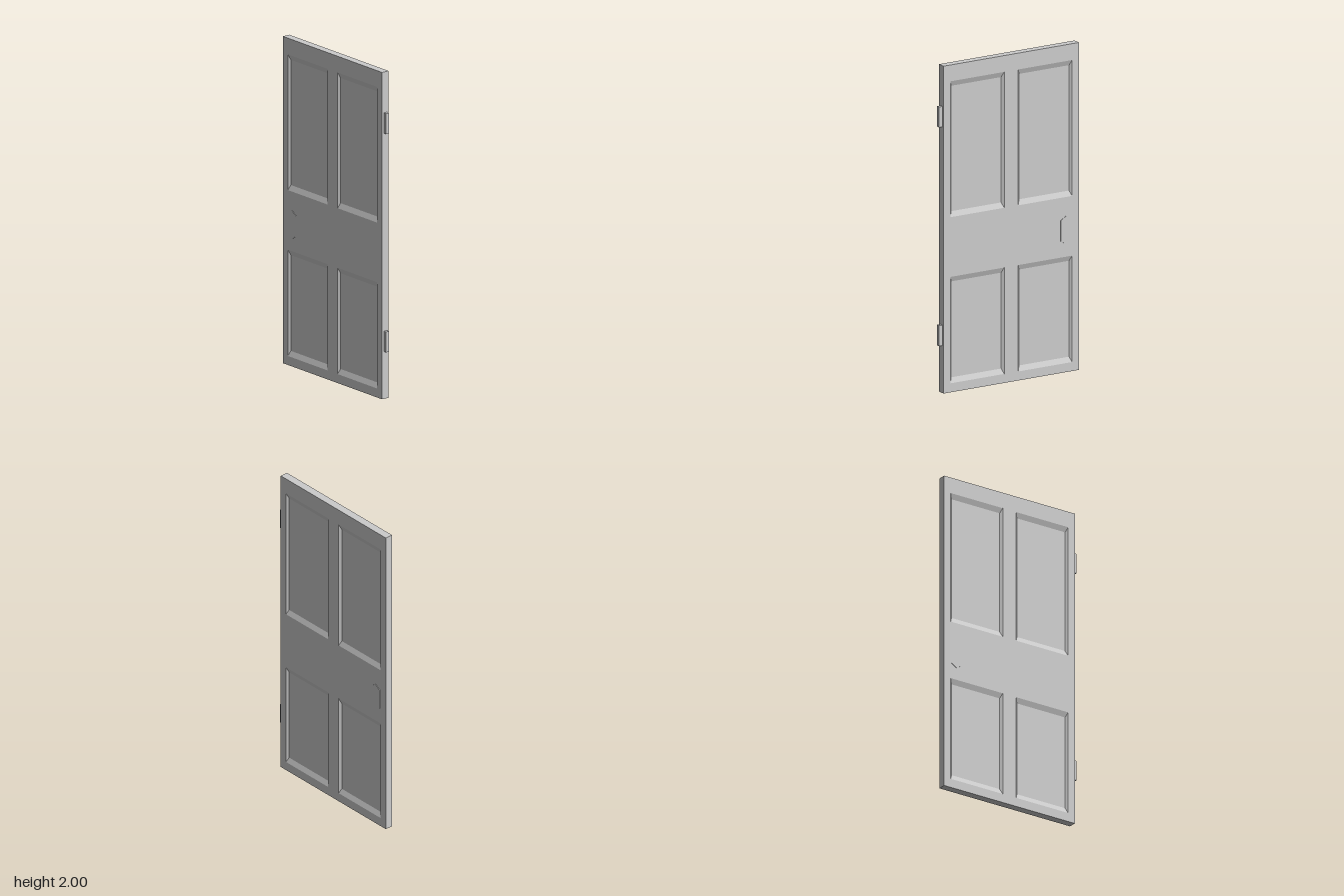
import * as THREE from 'three';

const mat = new THREE.MeshStandardMaterial({ color: 0xcccccc, flatShading: true });

// Door leaf extents; panels are symmetric about the leaf's centre line
const CX = -0.011, HALF_W = 0.464, HEIGHT = 2, HALF_T = 0.0245;
const PANEL_X = 0.2325, PANEL_W = 0.37;
const PANEL_ROWS = [['lower', 0.055, 0.705], ['upper', 1.07, 1.9]];
const BEVEL_X = 0.014, BEVEL_Y = 0.032, RECESS = 0.012;

function add(parent, geometry, name, x = 0, y = 0, z = 0) {
  const mesh = new THREE.Mesh(geometry, mat);
  mesh.name = name;
  mesh.position.set(x, y, z);
  parent.add(mesh);
  return mesh;
}

// Rectangle corners, counter-clockwise seen from +z
const rect = (x0, x1, y0, y1, z) =>
  [[x0, y0, z], [x1, y0, z], [x1, y1, z], [x0, y1, z]];

// Joins two rectangles with a band of quads, optionally capping the second
function loft(a, b, cap) {
  const pts = [];
  const quad = (p, q, r, s) => pts.push(...p, ...q, ...r, ...p, ...r, ...s);
  for (let i = 0; i < 4; i++) {
    const j = (i + 1) % 4;
    quad(a[i], a[j], b[j], b[i]);
  }
  if (cap) quad(...b);
  const g = new THREE.BufferGeometry();
  g.setAttribute('position', new THREE.Float32BufferAttribute(pts, 3));
  g.computeVertexNormals();
  return g;
}

// One face of the leaf: flat frame with four sunken, bevelled panels
function buildFace(name) {
  const face = new THREE.Group();
  face.name = name;
  const path = (target, x0, x1, y0, y1) =>
    target.setFromPoints(rect(x0, x1, y0, y1).map(([x, y]) => new THREE.Vector2(x, y)));
  const frame = path(new THREE.Shape(), -HALF_W, HALF_W, 0, HEIGHT);
  for (const [row, y0, y1] of PANEL_ROWS) {
    for (const s of [-1, 1]) {
      const x0 = s * PANEL_X - PANEL_W / 2, x1 = x0 + PANEL_W;
      frame.holes.push(path(new THREE.Path(), x0, x1, y0, y1));
      const outer = rect(x0, x1, y0, y1, HALF_T);
      const inner = rect(x0 + BEVEL_X, x1 - BEVEL_X, y0 + BEVEL_Y, y1 - BEVEL_Y, HALF_T - RECESS);
      add(face, loft(outer, inner, true), `${row}Panel`);
    }
  }
  add(face, new THREE.ShapeGeometry(frame), 'frameFace', 0, 0, HALF_T);
  return face;
}

export function createModel() {
  const door = new THREE.Group();
  door.name = 'door';

  // Leaf: two identical faces and the edge band around them
  const leaf = new THREE.Group();
  leaf.name = 'leaf';
  leaf.position.x = CX;
  const back = buildFace('backFace');
  back.rotation.y = Math.PI;
  leaf.add(buildFace('frontFace'), back);
  add(leaf, loft(rect(-HALF_W, HALF_W, 0, HEIGHT, -HALF_T),
    rect(-HALF_W, HALF_W, 0, HEIGHT, HALF_T)), 'edgeBand');
  door.add(leaf);

  // Thin handle plates, long hexagons pointed at top and bottom
  const plate = new THREE.Shape([
    [0, -0.0875], [0.0375, -0.063], [0.0375, 0.063],
    [0, 0.0875], [-0.0375, 0.063], [-0.0375, -0.063],
  ].map(([x, y]) => new THREE.Vector2(x, y)));
  const plateGeo = new THREE.ExtrudeGeometry(plate, { depth: 0.003, bevelEnabled: false });
  add(door, plateGeo, 'frontHandlePlate', -0.387, 0.868, HALF_T);
  add(door, plateGeo, 'backHandlePlate', -0.387, 0.868, -HALF_T - 0.003);

  // Hinges on the left edge
  const hinge = new THREE.BoxGeometry(0.022, 0.125, 0.023);
  add(door, hinge, 'lowerHinge', 0.464, 0.352, 0);
  add(door, hinge, 'upperHinge', 0.464, 1.688, 0);

  return door;
}
